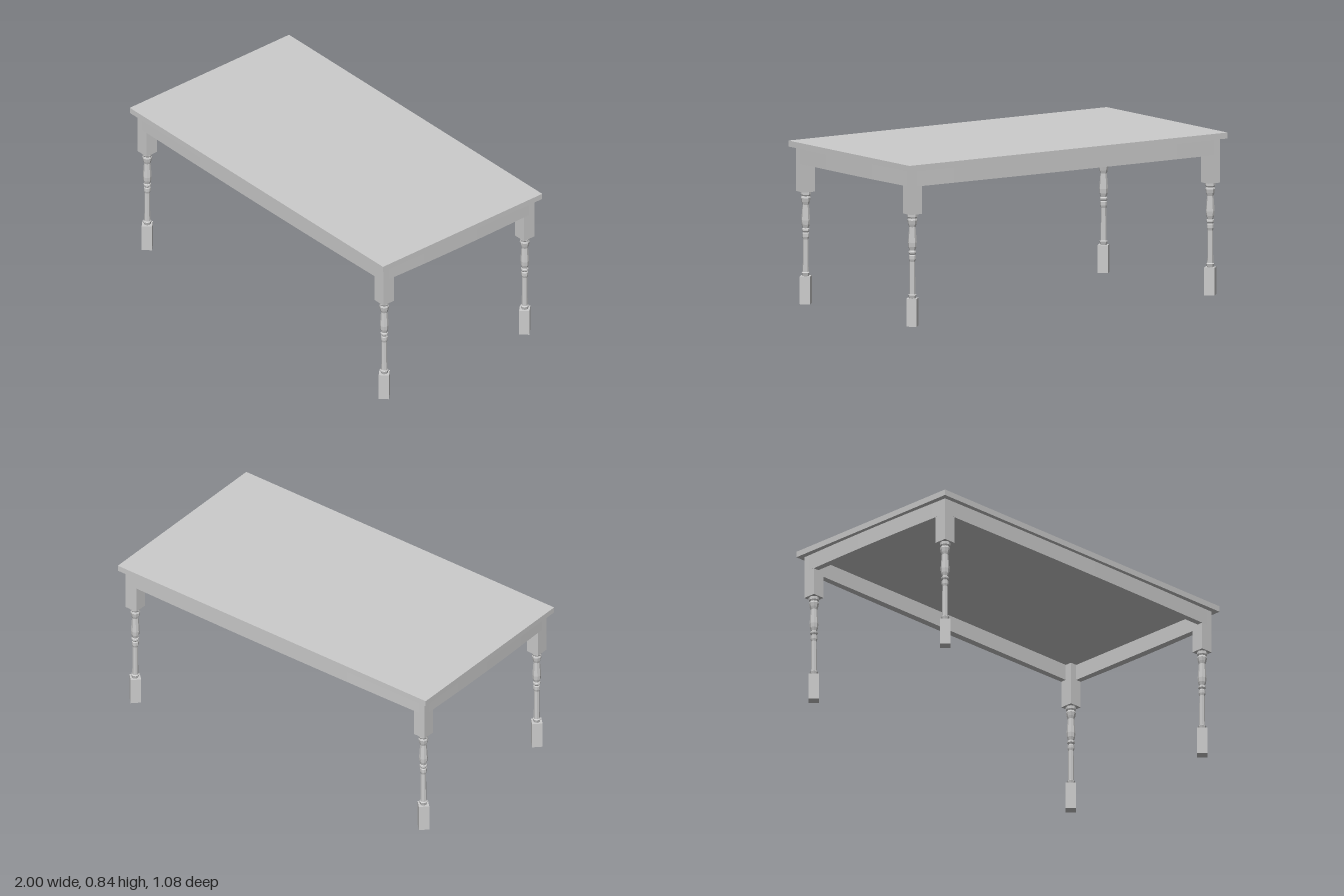
import * as THREE from 'three';

const smooth = new THREE.MeshStandardMaterial({ color: 0xcccccc });
const faceted = new THREE.MeshStandardMaterial({ color: 0xcccccc, flatShading: true });

const LEG_X = 0.936, LEG_Z = 0.474; // leg centres
const BLOCK = 0.07;                 // width of the square leg blocks
const TOP_Y = 0.813;                // underside of the tabletop
const APRON_Y = 0.728, APRON_T = 0.032, BOW = 0.007;

function addMesh(parent, name, geometry, material, x = 0, y = 0, z = 0) {
  const mesh = new THREE.Mesh(geometry, material);
  mesh.name = name;
  mesh.position.set(x, y, z);
  parent.add(mesh);
  return mesh;
}

// Rail between two legs, very slightly bowed outwards in plan
function apronGeometry(halfLength) {
  const plan = new THREE.Shape();
  plan.moveTo(-halfLength, -APRON_T);
  plan.lineTo(halfLength, -APRON_T);
  plan.lineTo(halfLength, 0);
  plan.quadraticCurveTo(0, 2 * BOW, -halfLength, 0);
  const geometry = new THREE.ExtrudeGeometry(plan, {
    depth: TOP_Y - APRON_Y, bevelEnabled: false, curveSegments: 16,
  });
  // plan +y becomes +z, the extrusion runs downwards from the tabletop
  return geometry.rotateX(Math.PI / 2);
}

// Turned leg: square block, spindle, and a square foot set diagonally
function createLeg() {
  const leg = new THREE.Group();
  const blockBottom = 0.583, footTop = 0.144;

  addMesh(leg, 'legBlock', new THREE.BoxGeometry(BLOCK, TOP_Y - blockBottom, BLOCK),
    faceted, 0, (TOP_Y + blockBottom) / 2, 0);

  const profile = [
    [0.017, footTop], [0.022, 0.162], [0.016, 0.166], // base collar
    [0.014, 0.335], [0.018, 0.348], [0.018, 0.366],   // plain shaft
    [0.014, 0.371], [0.020, 0.380], [0.020, 0.388],   // middle rings
    [0.015, 0.393], [0.021, 0.412], [0.023, 0.435],   // vase swelling
    [0.017, 0.515], [0.022, 0.530], [0.026, 0.550],   // neck
    [0.022, 0.560], [0.027, 0.568], [0.027, blockBottom],
  ].map(([r, y]) => new THREE.Vector2(r, y));
  addMesh(leg, 'spindle', new THREE.LatheGeometry(profile, 8), faceted);

  addMesh(leg, 'foot', new THREE.CylinderGeometry(0.038, 0.038, footTop, 4),
    faceted, 0, footTop / 2, 0);
  return leg;
}

export function createModel() {
  const table = new THREE.Group();
  table.name = 'table';

  addMesh(table, 'tabletop', new THREE.BoxGeometry(2, 0.031, 1.075), faceted,
    0, TOP_Y + 0.0155, 0);

  // Long and short rails, each flush with the outside of the leg blocks
  const longRail = apronGeometry(LEG_X), shortRail = apronGeometry(LEG_Z);
  for (let side = 0; side < 4; side++) {
    const angle = side * Math.PI / 2;
    const isLong = side % 2 === 0;
    const out = (isLong ? LEG_Z : LEG_X) + BLOCK / 2;
    const rail = addMesh(table, ['frontApron', 'leftApron', 'backApron', 'rightApron'][side],
      isLong ? longRail : shortRail, smooth,
      Math.sin(angle) * out, TOP_Y, Math.cos(angle) * out);
    rail.rotation.y = angle;
  }

  // Four matching legs
  for (const [sx, xName] of [[1, 'Left'], [-1, 'Right']]) {
    for (const [sz, zName] of [[1, 'front'], [-1, 'back']]) {
      const leg = createLeg();
      leg.name = zName + xName + 'Leg';
      leg.position.set(sx * LEG_X, 0, sz * LEG_Z);
      table.add(leg);
    }
  }
  return table;
}
